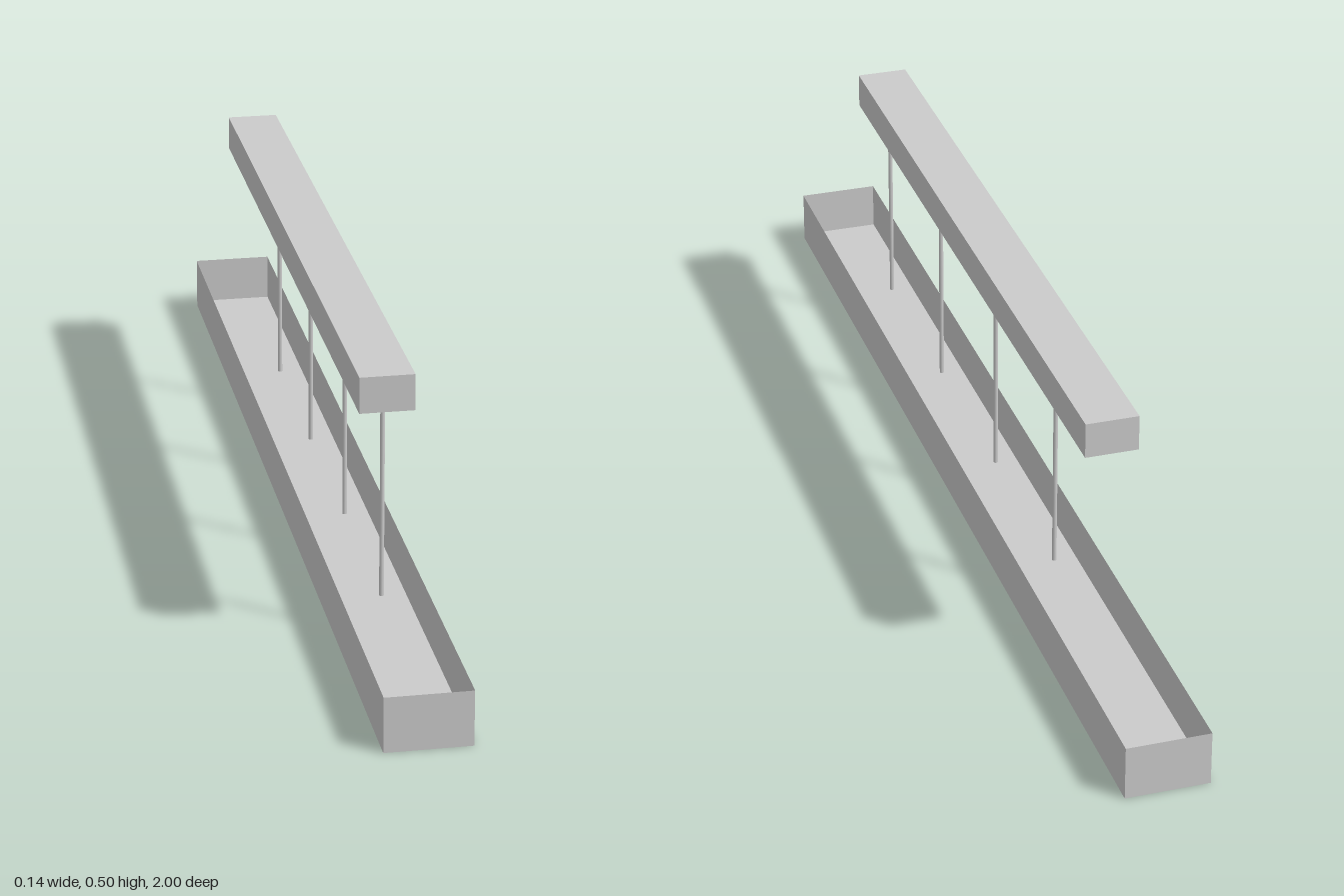
import * as THREE from 'three';

export function createModel() {
  const model = new THREE.Group();
  const mat = new THREE.MeshStandardMaterial({ color: 0xcccccc });
  const thin = new THREE.MeshStandardMaterial({ color: 0xcccccc, side: THREE.DoubleSide });
  const add = (name, geometry, material, x, y, z) => {
    const mesh = new THREE.Mesh(geometry, material);
    mesh.name = name;
    mesh.position.set(x, y, z);
    model.add(mesh);
    return mesh;
  };

  // Open-topped lamp housing with sheet-thin walls
  const halfW = 0.0725, height = 0.096, lip = 0.009;
  for (const s of [-1, 1]) {
    add('housingSide', new THREE.PlaneGeometry(2, height), thin, s * halfW, height / 2, 0)
      .rotation.y = s * Math.PI / 2;
    add('housingEnd', new THREE.PlaneGeometry(halfW * 2, height), thin, 0, height / 2, s)
      .rotation.y = s > 0 ? 0 : Math.PI;
  }

  // Bottom lip framing the recessed diffuser
  const rectangle = (path, w, h) => path.moveTo(-w, -h).lineTo(w, -h).lineTo(w, h).lineTo(-w, h).closePath();
  const frame = rectangle(new THREE.Shape(), halfW, 1);
  frame.holes.push(rectangle(new THREE.Path(), 0.067, 0.973));
  const lipGeometry = new THREE.ExtrudeGeometry(frame, { depth: lip, bevelEnabled: false });
  lipGeometry.rotateX(-Math.PI / 2);
  add('bottomLip', lipGeometry, mat, 0, 0, 0);
  add('diffuser', new THREE.PlaneGeometry(0.134, 1.946), thin, 0, lip, 0).rotation.x = -Math.PI / 2;

  // Ceiling canopy, slightly off the centre line
  add('canopy', new THREE.BoxGeometry(0.091, 0.062, 1.36), mat, -0.007, 0.471, 0);

  // Suspension rods and the small fittings under the canopy
  const rod = new THREE.CylinderGeometry(0.004, 0.004, 0.36, 12);
  const fitting = new THREE.CylinderGeometry(0.014, 0.014, 0.019, 16);
  for (let i = 0; i < 4; i++) {
    add('suspensionRod', rod, mat, 0.0015, 0.26, 0.598 - i * 0.338);
    add('canopyFitting', fitting, mat, -0.006, 0.4315, 0.417 - i * 0.338);
  }
  return model;
}
